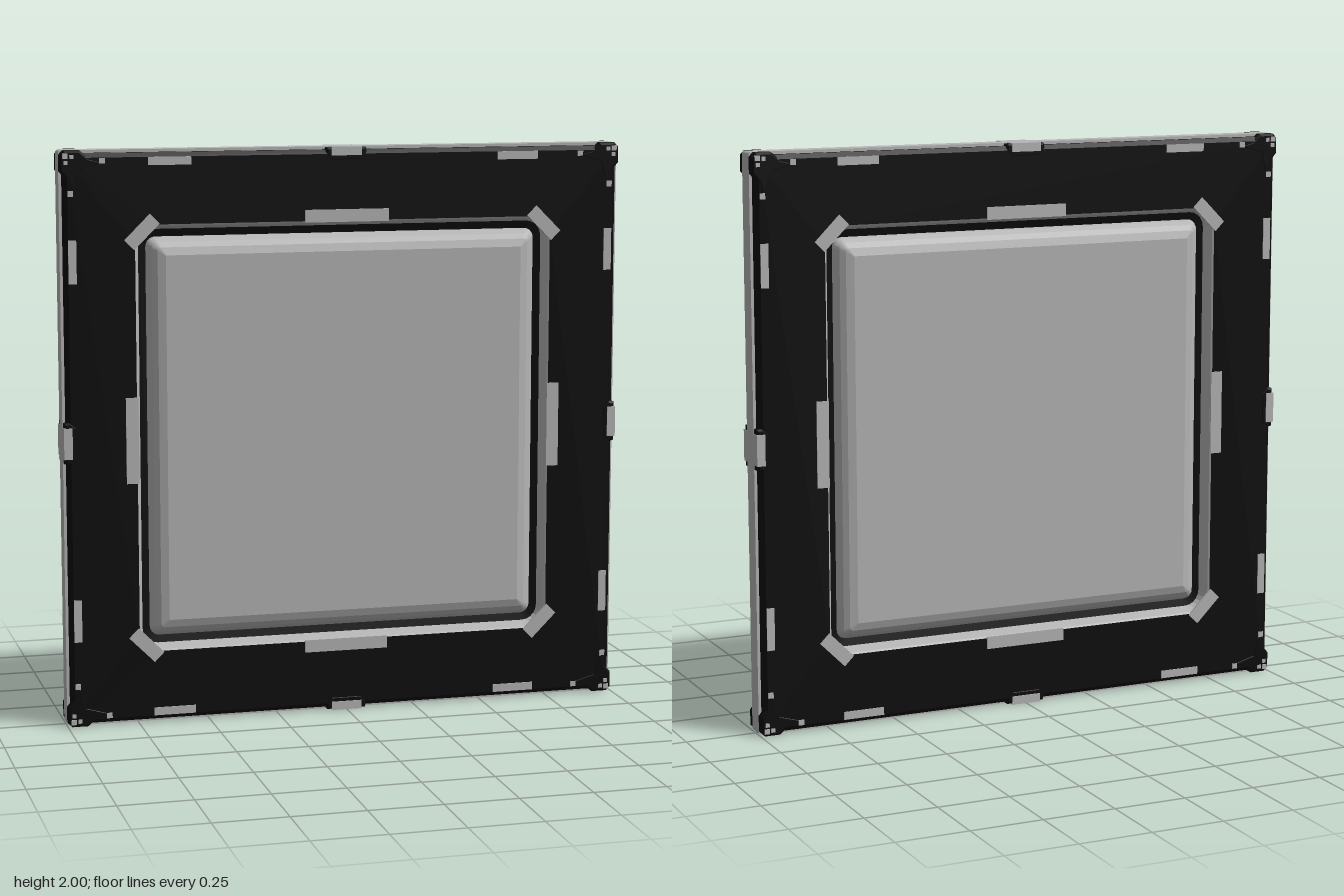
import * as THREE from 'three';

const black = new THREE.MeshStandardMaterial({ color: 0x0d0d0d });
black.name = 'black frame';
const grey = new THREE.MeshStandardMaterial({ color: 0xb6b6b6 });
grey.name = 'light grey panel';

// Rounded square loop, counter-clockwise seen from the front
function loop([half, z, r]) {
  const pts = [], n = 5, c = half - r;
  [[1, -1, -0.5], [1, 1, 0], [-1, 1, 0.5], [-1, -1, 1]].forEach(([sx, sy, start]) => {
    for (let i = 0; i <= n; i++) {
      const a = Math.PI * (start + 0.5 * i / n);
      pts.push([sx * c + r * Math.cos(a), sy * c + r * Math.sin(a), z]);
    }
  });
  return pts;
}

// Faceted skin through [half size, z, corner radius] sections, from outside in
function loft(sections) {
  const loops = sections.map(loop), pos = [];
  for (let k = 0; k + 1 < loops.length; k++) {
    const a = loops[k], b = loops[k + 1];
    for (let i = 0; i < a.length; i++) {
      const j = (i + 1) % a.length;
      pos.push(...a[i], ...a[j], ...b[j], ...a[i], ...b[j], ...b[i]);
    }
  }
  const g = new THREE.BufferGeometry();
  g.setAttribute('position', new THREE.Float32BufferAttribute(pos, 3));
  g.computeVertexNormals();
  return g;
}

function add(parent, name, geometry, material) {
  const m = new THREE.Mesh(geometry, material);
  m.name = name;
  parent.add(m);
  return m;
}

// Thin plate given by its x and y range
function plate(parent, name, x0, x1, y0, y1, top = 0.064, depth = 0.008) {
  const m = add(parent, name, new THREE.BoxGeometry(x1 - x0, y1 - y0, depth), grey);
  m.position.set((x0 + x1) / 2, (y0 + y1) / 2, top - depth / 2);
  return m;
}

// Bevelled black block raised from the rim
function block(parent, name, points) {
  const shape = new THREE.Shape(points.map(p => new THREE.Vector2(...p)));
  const g = new THREE.ExtrudeGeometry(shape, {
    depth: 0.022, bevelThickness: 0.009, bevelSize: 0.008, bevelOffset: -0.008, bevelSegments: 1,
  });
  return add(parent, name, g.translate(0, 0, 0.032), black);
}

// One side of the panel, facing +z and centred on the origin
function buildFace(name) {
  const face = new THREE.Group();
  face.name = name;

  add(face, 'outerRim', loft([[1, 0, 0.012], [1, 0.033, 0.012], [0.988, 0.033, 0.012]]), grey);
  add(face, 'frame', loft([[0.99, 0.033, 0.012], [0.99, 0.048, 0.012], [0.975, 0.061, 0.012], [0.745, 0.061, 0.06]]), black);
  add(face, 'innerRim', loft([[0.745, 0.061, 0.06], [0.739, 0.057, 0.06], [0.726, 0.012, 0.055]]), grey);
  add(face, 'groove', loft([[0.726, 0.012, 0.055], [0.69, 0.004, 0.035]]), black);
  add(face, 'centrePanel', loft([
    [0.702, 0, 0.035], [0.695, 0.018, 0.03], [0.683, 0.034, 0.022],
    [0.665, 0.047, 0.012], [0.638, 0.056, 0.002], [0, 0.056, 0],
  ]), grey);

  // Corner brackets with small studs
  for (let q = 0; q < 4; q++) {
    const corner = new THREE.Group();
    corner.name = 'corner';
    corner.rotation.z = q * Math.PI / 2;
    face.add(corner);
    block(corner, 'cornerBracket', [
      [0.985, 1], [0.93, 1], [0.90, 0.975], [0.86, 0.965], [0.86, 0.95], [0.93, 0.93],
      [0.95, 0.86], [0.965, 0.86], [0.975, 0.90], [1, 0.93], [1, 0.985],
    ]);
    plate(corner, 'stud', 0.955, 0.974, 0.845, 0.865);
    plate(corner, 'stud', 0.845, 0.865, 0.955, 0.974);
    plate(corner, 'cornerStud', 0.972, 0.99, 0.972, 0.99, 0.066);
    plate(corner, 'cornerStud', 0.952, 0.966, 0.972, 0.986, 0.066);
    plate(corner, 'cornerStud', 0.972, 0.986, 0.952, 0.966, 0.066);

    // Diagonal pad across the inner corner
    const pad = plate(corner, 'diagonalPad', -0.063, 0.063, -0.024, 0.024, 0.066);
    pad.position.set(0.721, 0.721, 0.062);
    pad.rotation.z = -Math.PI / 4;
  }

  // Edge clips, edge plates and inner pads
  for (let q = 0; q < 4; q++) {
    const side = new THREE.Group();
    side.name = 'side';
    side.rotation.z = q * Math.PI / 2;
    face.add(side);
    block(side, 'clipBase', [[0.07, 0.998], [-0.07, 0.998], [-0.075, 0.975], [-0.055, 0.95], [0.055, 0.95], [0.075, 0.975]]);
    plate(side, 'edgeClip', -0.054, 0.054, 0.97, 1, 0.066, 0.033);
    plate(side, 'edgePlate', -0.697, -0.548, 0.947, 0.975);
    plate(side, 'edgePlate', 0.548, 0.697, 0.947, 0.975);
    plate(side, 'innerPad', -0.148, 0.152, 0.74, 0.784);
  }
  return face;
}

export function createModel() {
  const model = new THREE.Group();
  model.name = 'framedPanel';
  const front = buildFace('frontFace'), back = buildFace('backFace');
  back.rotation.y = Math.PI;
  front.position.y = back.position.y = 1;
  model.add(front, back);
  return model;
}
